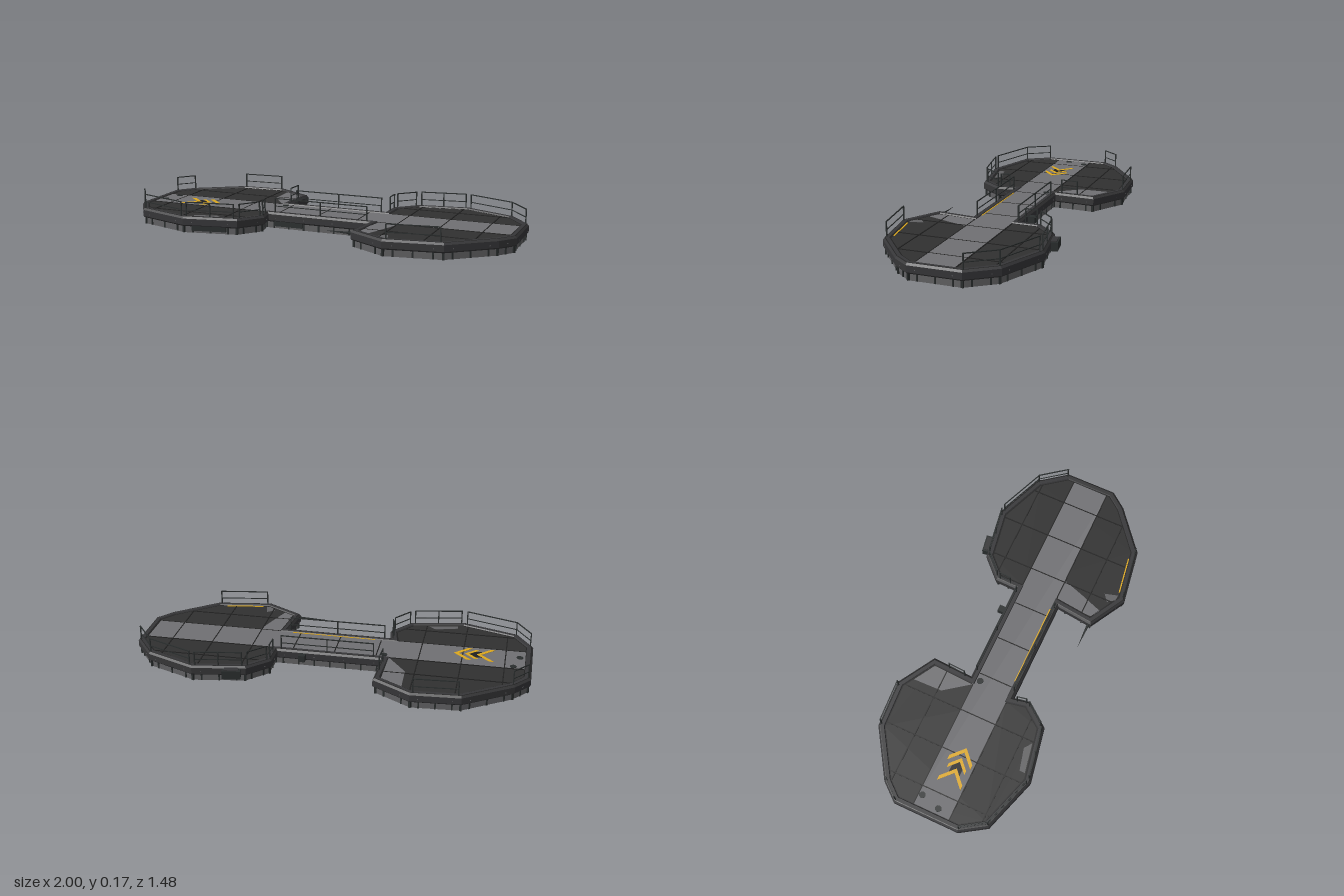
import * as THREE from 'three';

const paint = (name, color) => {
  const m = new THREE.MeshStandardMaterial({ color });
  m.name = name;
  return m;
};
const darkDeck = paint('dark deck', 0x303030);
const lightDeck = paint('light deck', 0x707073);
const rimGrey = paint('rim grey', 0x363638);
const skirtGrey = paint('skirt grey', 0x616163);
const seamBlack = paint('seam black', 0x202020);
const underBlack = paint('underside black', 0x2b2b2b);
const railMetal = paint('rail metal', 0x2a2e2e);
const yellow = paint('warning yellow', 0xdca81e);

// Outline of the two lobes as [along, across], joined by the bridge
const LOBE = 12;
const outline = [
  [0.303, -0.13], [0.306, -0.25], [0.416, -0.36], [0.696, -0.406], [0.968, -0.296], [1.08, -0.15],
  [1.08, 0.13], [1.012, 0.218], [0.787, 0.4], [0.484, 0.447], [0.28, 0.332], [0.303, 0.13],
  [-0.274, 0.127], [-0.257, 0.215], [-0.355, 0.343], [-0.651, 0.4], [-0.953, 0.303], [-1.041, 0.167],
  [-1.041, -0.198], [-0.964, -0.291], [-0.712, -0.457], [-0.453, -0.474], [-0.249, -0.354], [-0.26, -0.13],
];
const N = outline.length;

// Move every edge of the outline inwards by d
function inset(d) {
  return outline.map((p, i) => {
    const a = outline[(i + N - 1) % N], b = outline[(i + 1) % N];
    const l1 = Math.hypot(p[0] - a[0], p[1] - a[1]), l2 = Math.hypot(b[0] - p[0], b[1] - p[1]);
    const n1 = [-(p[1] - a[1]) / l1, (p[0] - a[0]) / l1];
    const n2 = [-(b[1] - p[1]) / l2, (b[0] - p[0]) / l2];
    const k = d / (1 + n1[0] * n2[0] + n1[1] * n2[1]);
    return [p[0] + (n1[0] + n2[0]) * k, p[1] + (n1[1] + n2[1]) * k];
  });
}

// Sweep a profile of [inset, height] pairs around the outline
function sweep(profile) {
  const rings = profile.map(([d, y]) => inset(d).map(([u, v]) => [u, y, v]));
  const pos = [];
  for (let k = 0; k < rings.length - 1; k++) {
    for (let i = 0; i < N; i++) {
      const j = (i + 1) % N;
      const a = rings[k][i], b = rings[k][j], c = rings[k + 1][i], d = rings[k + 1][j];
      pos.push(...a, ...c, ...b, ...b, ...c, ...d);
    }
  }
  const g = new THREE.BufferGeometry();
  g.setAttribute('position', new THREE.Float32BufferAttribute(pos, 3));
  g.computeVertexNormals();
  return g;
}

// Flat slab with its top at the given height
function slab(points, top, depth) {
  const shape = new THREE.Shape(points.map(p => new THREE.Vector2(p[0], p[1])));
  const g = new THREE.ExtrudeGeometry(shape, { depth, bevelEnabled: false });
  return g.rotateX(Math.PI / 2).translate(0, top, 0);
}

// Where a straight line (axis 0: along = c, axis 1: across = c) lies inside the deck
function spans(axis, c) {
  const pts = inset(0.036), hits = [];
  pts.forEach((a, i) => {
    const b = pts[(i + 1) % N];
    if ((a[axis] < c) !== (b[axis] < c)) {
      const t = (c - a[axis]) / (b[axis] - a[axis]);
      hits.push(a[1 - axis] + (b[1 - axis] - a[1 - axis]) * t);
    }
  });
  hits.sort((p, q) => p - q);
  return hits.flatMap((h, i) => (i % 2 ? [[hits[i - 1], h]] : []));
}

export function createModel() {
  const model = new THREE.Group();
  model.name = 'platform';
  const body = new THREE.Group();
  body.name = 'platformBody';
  body.rotation.y = Math.PI / 6;
  model.add(body);

  const add = (name, geo, mat, parent = body) => {
    const m = new THREE.Mesh(geo, mat);
    m.name = name;
    parent.add(m);
    return m;
  };
  const box = (name, w, h, d, x, y, z, mat, parent) => {
    const m = add(name, new THREE.BoxGeometry(w, h, d), mat, parent);
    m.position.set(x, y, z);
    return m;
  };
  // Level bar between two plan points
  const bar = (name, a, b, y, h, w, mat, parent) => {
    const m = box(name, Math.hypot(b[0] - a[0], b[1] - a[1]), h, w, (a[0] + b[0]) / 2, y, (a[1] + b[1]) / 2, mat, parent);
    m.rotation.y = -Math.atan2(b[1] - a[1], b[0] - a[0]);
    return m;
  };
  const mix = (a, b, t) => [a[0] + (b[0] - a[0]) * t, a[1] + (b[1] - a[1]) * t];

  // Hull: deck, underside, skirt and raised rim
  add('deck', slab(inset(0.03), 0.082, 0.04), darkDeck);
  add('underside', slab(inset(0.03), 0.04, 0.034), underBlack);
  add('skirt', sweep([[0.045, 0.008], [0.045, 0], [0.016, 0], [0.016, 0.04]]), skirtGrey);
  add('rim', sweep([[0.035, 0.036], [0.008, 0.036], [0, 0.044], [0, 0.078], [0.01, 0.089], [0.03, 0.089], [0.035, 0.082]]), rimGrey);
  add('rimSeam', sweep([[0.033, 0.0835], [0.039, 0.0835]]), seamBlack);
  add('rimEdgeLine', sweep([[0.008, 0.0885], [0.012, 0.0896]]), seamBlack);

  // Light walkway from end to end
  add('walkway', slab([[-1.004, -0.101], [1.042, -0.101], [1.04, 0.101], [-1.004, 0.101]], 0.084, 0.004), lightDeck);

  // Panel seams
  for (let k = -4; k <= 4; k++) {
    for (const [p, q] of spans(0, k * 0.225)) bar('crossSeam', [k * 0.225, p], [k * 0.225, q], 0.083, 0.0036, 0.006, seamBlack);
  }
  for (const v of [-0.26, -0.102, 0.102, 0.26]) {
    for (const [p, q] of spans(1, v)) bar('longSeam', [p, v], [q, v], 0.083, 0.0036, 0.006, seamBlack);
  }
  // Ribs below
  for (const v of [-0.27, -0.09, 0.09, 0.27]) {
    for (const [p, q] of spans(1, v)) bar('undersideRib', [p, v], [q, v], 0.004, 0.007, 0.02, rimGrey);
  }

  // Skirt ribs and rim bolts along each edge
  const ribLine = inset(0.015), boltLine = inset(0.001);
  for (let i = 0; i < N; i++) {
    const j = (i + 1) % N;
    const a = ribLine[i], b = ribLine[j];
    const len = Math.hypot(b[0] - a[0], b[1] - a[1]), n = Math.max(1, Math.round(len / 0.09));
    for (let k = 0; k < n; k++) {
      const half = 0.004 / len, t = (k + 0.5) / n;
      bar('skirtRib', mix(a, b, t - half), mix(a, b, t + half), 0.019, 0.036, 0.008, railMetal);
      if (k % 2 === 0) {
        const c = boltLine[i], d = boltLine[j];
        bar('rimBolt', mix(c, d, t - half / 2), mix(c, d, t + half / 2), 0.058, 0.005, 0.005, skirtGrey);
      }
    }
    // Joint plate at each corner
    const post = box('cornerPost', 0.012, 0.036, 0.012, a[0], 0.019, a[1], railMetal);
    post.rotation.y = -Math.atan2(b[1] - a[1], b[0] - a[0]);
  }

  // Railings: upright posts with two bars, following plan points, n bays per straight run
  const railing = (pts, n) => {
    const g = new THREE.Group();
    g.name = 'railing';
    body.add(g);
    for (let i = 0; i < pts.length - 1; i++) {
      const [a, b] = [pts[i], pts[i + 1]];
      bar('topBar', a, b, 0.164, 0.005, 0.005, railMetal, g);
      bar('middleBar', a, b, 0.122, 0.004, 0.004, railMetal, g);
      for (let k = 0; k <= n; k++) {
        const p = mix(a, b, k / n);
        box('post', 0.006, 0.085, 0.006, p[0], 0.1235, p[1], railMetal, g);
      }
    }
  };
  const r = inset(0.014);
  const on = (i, t) => mix(r[i], r[i + 1], t);
  for (const s of [0, LOBE]) {
    railing([on(s, 0.4), on(s, 0.9)], 1);
    railing([on(s + 1, 0.1), on(s + 1, 0.9)], 1);
    railing([on(s + 2, 0.06), on(s + 2, 0.95)], 2);
    railing([on(s + 3, 0.06), r[s + 4], on(s + 4, 0.97)], 1);
    railing([on(s + 8, 0.05), on(s + 8, 0.95)], 1);
  }
  railing([on(18, 0.02), on(18, 1)], 1);
  railing([on(22, 0.4), on(22, 0.8)], 1);
  railing([[-0.215, r[0][1]], [0.285, r[0][1]]], 2);
  railing([[-0.24, r[LOBE][1]], [0.285, r[LOBE][1]]], 2);

  // Light patch panels beside the bridge and loose plates near the edges
  add('patchPanel', slab([[0.33, 0.1], [0.46, 0.1], [0.42, 0.22], [0.375, 0.345], [0.325, 0.315]], 0.0835, 0.003), lightDeck);
  add('patchPanel', slab([[-0.405, -0.42], [-0.29, -0.335], [-0.295, -0.1], [-0.40, -0.24]], 0.0835, 0.003), lightDeck);
  add('loosePlate', slab([[-0.62, 0.35], [-0.62, 0.32], [-0.5, 0.29], [-0.46, 0.32]], 0.0835, 0.003), skirtGrey);
  add('loosePlate', slab([[0.44, 0.36], [0.48, 0.33], [0.50, 0.40], [0.47, 0.40]], 0.0835, 0.003), skirtGrey);

  // Painted chevrons on the walkway
  const chevron = (u, reach, w, mat) => add('chevron', slab([
    [u, 0.02], [u - reach, 0.02 + reach * 0.95], [u - reach - w, 0.02 + reach * 0.95],
    [u - w, 0.02], [u - reach - w, 0.02 - reach * 0.95], [u - reach, 0.02 - reach * 0.95],
  ], 0.0858, 0.003), mat);
  chevron(-0.628, 0.07, 0.026, yellow);
  chevron(-0.686, 0.053, 0.023, yellow);
  chevron(-0.71, 0.032, 0.036, seamBlack);
  chevron(-0.747, 0.07, 0.026, yellow);

  // Yellow edge lines
  bar('edgeLine', [-0.19, 0.094], [0.27, 0.094], 0.0845, 0.003, 0.006, yellow);
  bar('edgeLine', [0.52, 0.4], [0.73, 0.368], 0.0835, 0.003, 0.007, yellow);

  // Floor drains
  for (const [u, v] of [[-0.975, 0.026], [-0.945, -0.08], [-0.265, -0.075]]) {
    const d = add('drain', new THREE.CylinderGeometry(0.018, 0.018, 0.004, 8), railMetal);
    d.position.set(u, 0.085, v);
  }

  // Side boxes, lockers under the rim, and a bent strut at the broken corner
  bar('sideBox', [0.44, -0.375], [0.535, -0.391], 0.055, 0.045, 0.045, railMetal);
  bar('sideBoxLid', [0.45, -0.377], [0.525, -0.389], 0.079, 0.005, 0.03, rimGrey);
  box('bridgeBracket', 0.035, 0.035, 0.04, 0.164, 0.06, -0.146, railMetal);
  bar('underLocker', on(14, 0.2), on(14, 0.85), 0.03, 0.034, 0.02, railMetal);
  bar('underLocker', [-0.24, 0.114], [-0.08, 0.114], 0.03, 0.034, 0.02, railMetal);
  const strut = add('bentStrut', new THREE.ConeGeometry(0.008, 0.16, 4), railMetal);
  strut.position.set(0.21, 0.07, 0.318);
  strut.rotation.z = Math.PI / 2;

  return model;
}
